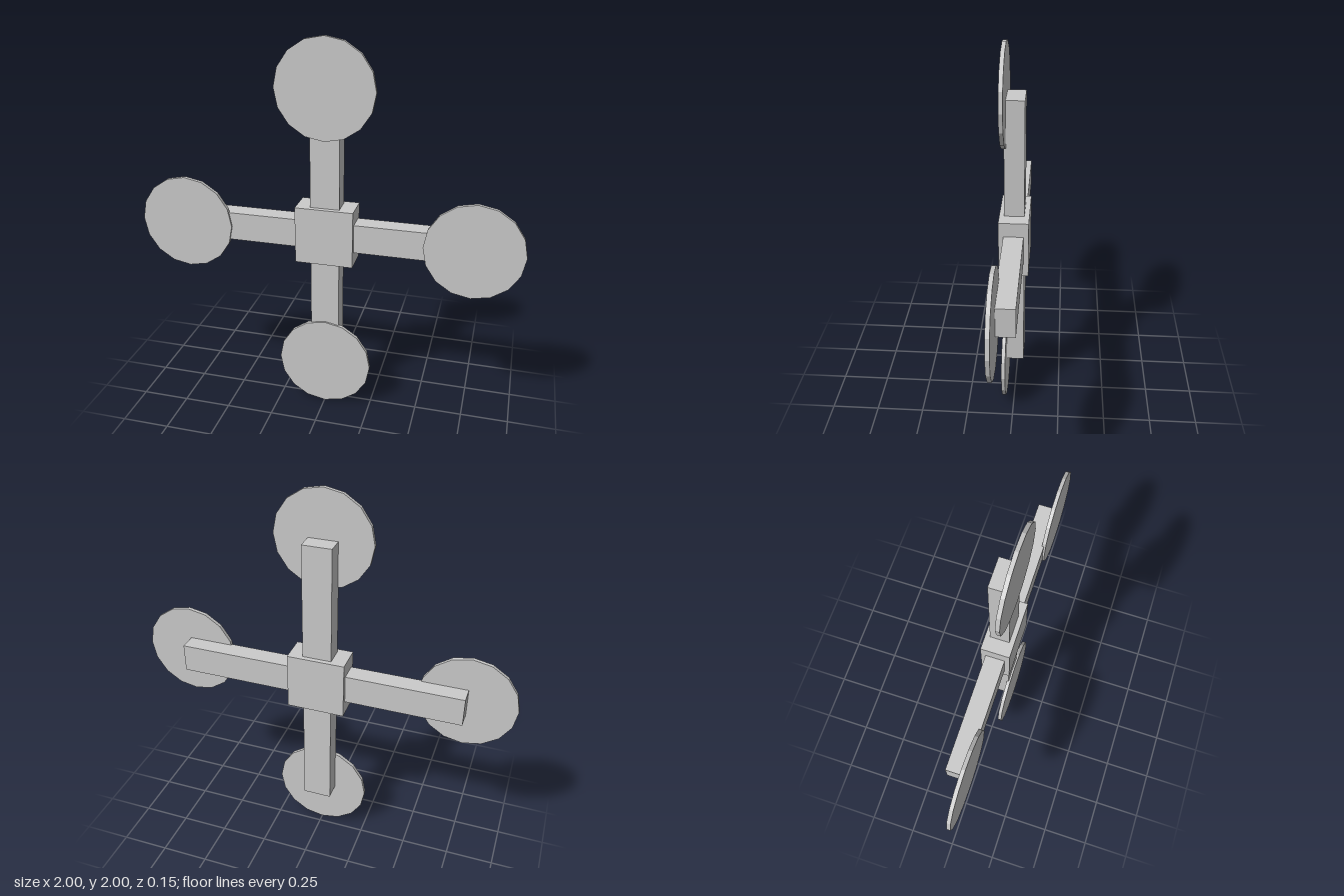
import * as THREE from 'three';

export function createModel() {
  const model = new THREE.Group();
  const material = new THREE.MeshStandardMaterial({ color: 0xcccccc, flatShading: true });

  const add = (name, geometry, x, y, z) => {
    const mesh = new THREE.Mesh(geometry, material);
    mesh.name = name;
    mesh.position.set(x, y, z);
    model.add(mesh);
  };

  // Central block and the two crossing bars
  add('hub', new THREE.BoxGeometry(0.3, 0.3, 0.15), 0, 1, 0);
  add('horizontalBar', new THREE.BoxGeometry(1.5, 0.15, 0.1), 0, 1, 0);
  add('verticalBar', new THREE.BoxGeometry(0.15, 1.5, 0.1), 0, 1, 0);

  // Thin 16-sided discs facing forward at the bar ends
  const disc = new THREE.CylinderGeometry(0.25, 0.25, 0.02, 16).rotateX(Math.PI / 2);
  const ends = { leftDisc: [1, 0], topDisc: [0, 1], rightDisc: [-1, 0], bottomDisc: [0, -1] };
  for (const [name, [x, y]] of Object.entries(ends)) {
    add(name, disc, 0.75 * x, 1 + 0.75 * y, 0.05);
  }

  return model;
}
